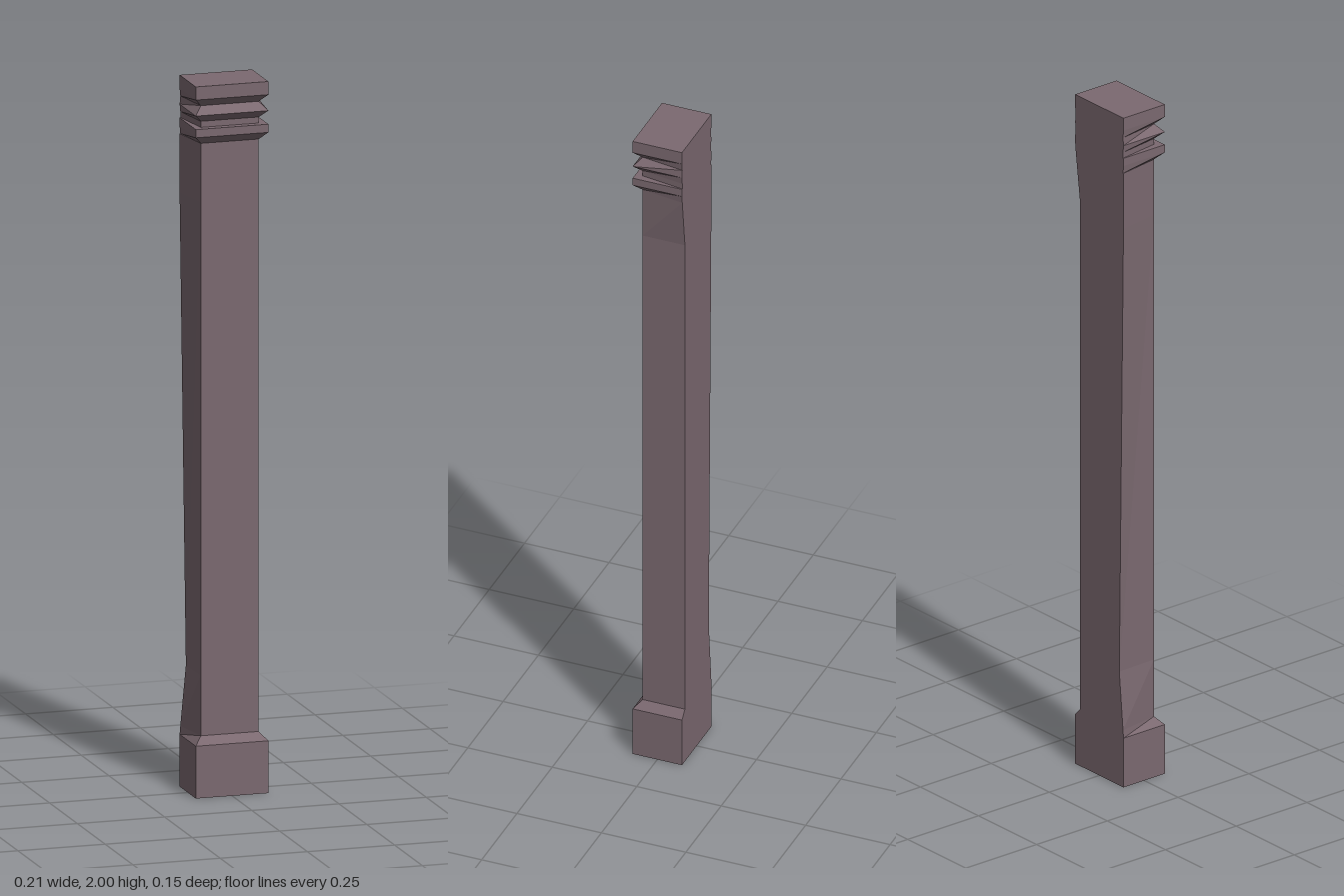
import * as THREE from 'three';

const OUT = 0.104, IN = 0.083;        // half widths of the blocks and the shaft
const Z_OUT = 0.073, Z_IN = 0.052, Z_BACK = -0.073;

// Loft four-cornered rings. Each level: [y, front half width, front z, back left-hand x, back right-hand x]
function loft(levels) {
  const rings = levels.map(([y, w, z, bn, bp]) => [
    [-w, y, z], [w, y, z], [bp, y, Z_BACK], [-bn, y, Z_BACK],
  ]);
  const pos = [];
  const quad = (a, b, c, d) => pos.push(...a, ...b, ...c, ...a, ...c, ...d);
  for (let i = 0; i < rings.length - 1; i++) {
    for (let k = 0; k < 4; k++) {
      const n = (k + 1) % 4;
      quad(rings[i][k], rings[i][n], rings[i + 1][n], rings[i + 1][k]);
    }
  }
  const [a, b, c, d] = rings[0];
  quad(d, c, b, a);
  quad(...rings[rings.length - 1]);
  const geometry = new THREE.BufferGeometry();
  geometry.setAttribute('position', new THREE.Float32BufferAttribute(pos, 3));
  geometry.computeVertexNormals();
  return geometry;
}

export function createModel() {
  const stone = new THREE.MeshStandardMaterial({ color: 0x7b6970 });
  stone.name = 'mauve stone';
  const group = new THREE.Group();
  group.name = 'pilaster';
  const add = (name, levels) => {
    const mesh = new THREE.Mesh(loft(levels), stone);
    mesh.name = name;
    group.add(mesh);
  };

  // Plinth with a chamfer up to the shaft
  add('base', [
    [0, OUT, Z_OUT, OUT, OUT],
    [0.147, OUT, Z_OUT, OUT, OUT],
    [0.17, IN, Z_IN, 0.102, IN],
  ]);

  // Straight front, with back edges that flare unevenly
  add('shaft', [
    [0.17, IN, Z_IN, 0.102, IN],
    [0.34, IN, Z_IN, 0.086, IN],
    [1.67, IN, Z_IN, OUT, IN],
    [1.685, IN, Z_IN, OUT, IN],
    [1.835, IN, Z_IN, OUT, 0.102],
  ]);

  // Stepped mouldings, running out to a flat back
  const profile = [
    [1.835, 0], [1.857, 1], [1.88, 1], [1.88, 0], [1.897, 0],
    [1.918, 1], [1.941, 0], [1.963, 1], [2, 1],
  ];
  add('capital', profile.map(([y, t]) => [
    y, IN + (OUT - IN) * t, Z_IN + (Z_OUT - Z_IN) * t,
    t ? OUT : 0.102, t ? OUT : 0.102,
  ]));

  return group;
}
